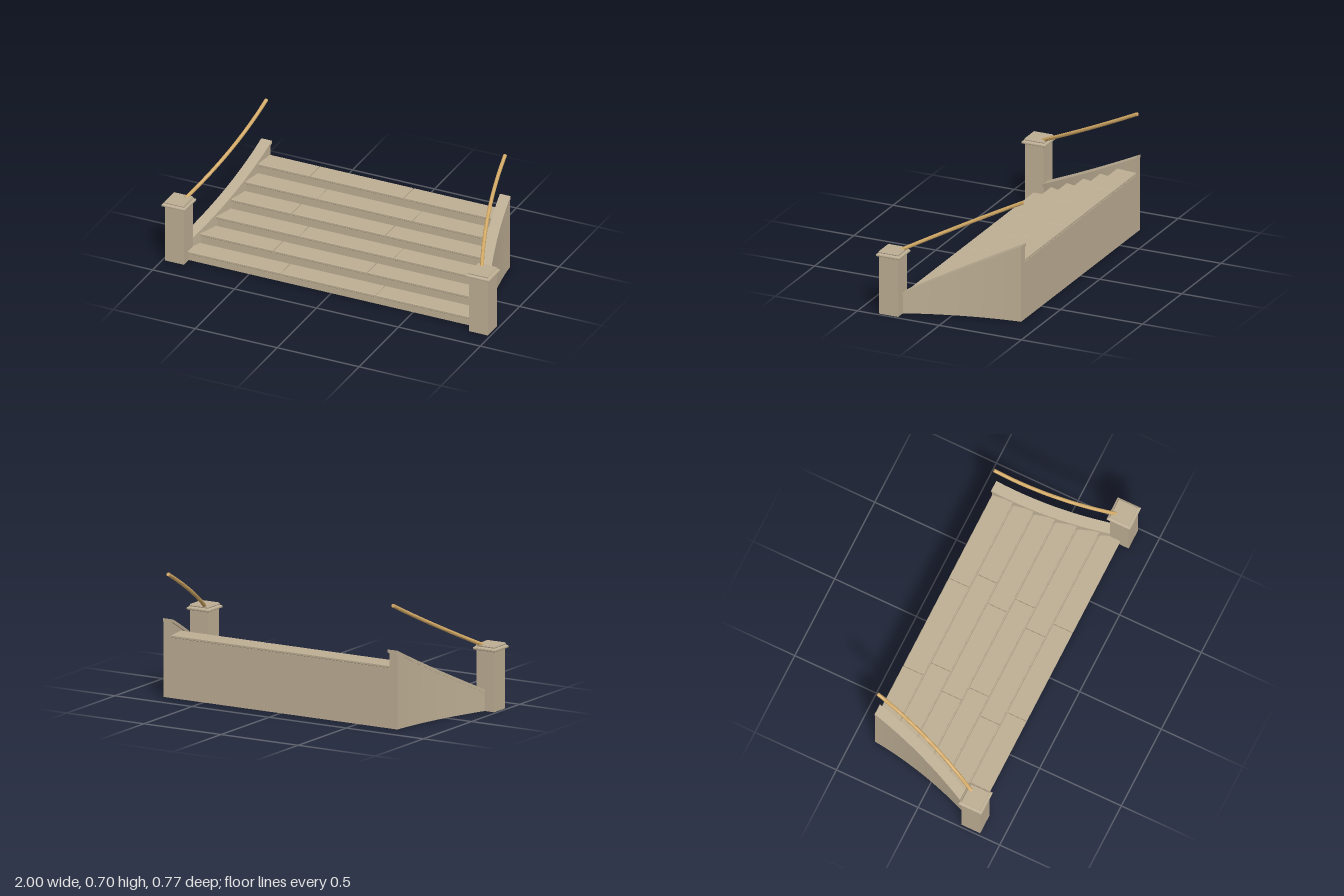
import * as THREE from 'three';
import { toCreasedNormals } from 'three/addons/utils/BufferGeometryUtils.js';

const BACK = -0.383, WALL_FRONT = 0.262, POST_X = 0.928, POST_Z = 0.316;

// Plan curve of the flared side: distance from the middle at depth z
const sideX = z => {
  const t = (z - BACK) / 0.643;
  return 0.728 + 0.167 * (0.4 * t + 0.6 * t * t);
};
const slopeY = z => 0.2525 - 0.5023 * z; // top of the coping
const railY = z => 0.505 - 0.5 * z;

export function createModel() {
  const model = new THREE.Group();
  model.name = 'staircase';
  const stone = new THREE.MeshStandardMaterial({ color: 0xbcad93 });
  stone.name = 'sandstone';
  const wood = new THREE.MeshStandardMaterial({ color: 0xcfa663 });
  wood.name = 'golden wood';

  const add = (parent, name, geometry, material) => {
    const mesh = new THREE.Mesh(geometry, material);
    mesh.name = name;
    parent.add(mesh);
    return mesh;
  };

  // Horizontal slab between depths z0 and z1; null ends follow the flared side
  const slab = (left, right, z0, z1, y0, y1, bevel) => {
    const N = 8, pts = [];
    const edge = z => Math.min(sideX(z), 0.885);
    for (let i = 0; i <= N; i++) {
      const z = z1 + (z0 - z1) * i / N;
      if (right === null || i === 0 || i === N) pts.push(new THREE.Vector2(right ?? edge(z), -z));
    }
    for (let i = 0; i <= N; i++) {
      const z = z0 + (z1 - z0) * i / N;
      if (left === null || i === 0 || i === N) pts.push(new THREE.Vector2(left ?? -edge(z), -z));
    }
    const geo = new THREE.ExtrudeGeometry(new THREE.Shape(pts), {
      depth: y1 - y0 - 2 * bevel, bevelEnabled: bevel > 0, bevelSize: bevel,
      bevelThickness: bevel, bevelOffset: -bevel, bevelSegments: 1,
    });
    geo.rotateX(-Math.PI / 2);
    geo.translate(0, y0 + bevel, 0);
    return geo;
  };

  // Steps: solid risers with overhanging treads laid in staggered slabs
  const steps = new THREE.Group();
  steps.name = 'steps';
  model.add(steps);
  const RISE = 0.0592, RUN = 0.1165, THICK = 0.016, GAP = 0.002;
  for (let i = 0; i < 6; i++) {
    const top = RISE * (i + 1), front = 0.323 - RUN * i;
    const back = i === 5 ? BACK : front - RUN - 0.003;
    const bottom = i === 0 ? 0 : RISE * i - THICK;
    add(steps, 'riser', slab(null, null, BACK, front - 0.01, bottom, top - THICK, 0), stone);
    const seams = i % 2 ? [-0.405, 0.167] : [-0.302, 0.275];
    const ends = [null, ...seams, null];
    for (let k = 0; k < 3; k++) {
      const l = ends[k] === null ? null : ends[k] + GAP;
      const r = ends[k + 1] === null ? null : ends[k + 1] - GAP;
      add(steps, 'tread', slab(l, r, back, front, top - THICK, top, 0.003), stone);
    }
  }

  // Box bent along the flared side, with its height set by depth
  const bentWall = (s, inner, outer, bottomY, topY) => {
    const geo = new THREE.BoxGeometry(1, 1, 1, 1, 1, 24);
    const p = geo.attributes.position;
    for (let i = 0; i < p.count; i++) {
      const z = BACK + (p.getZ(i) + 0.5) * (WALL_FRONT - BACK);
      const offset = p.getX(i) * s > 0 ? outer : inner;
      p.setXYZ(i, s * (sideX(z) + offset), p.getY(i) > 0 ? topY(z) : bottomY(z), z);
    }
    geo.computeVertexNormals();
    return geo;
  };

  // Square moulded cap: half widths and heights
  const capProfile = [[0, 0.34], [0.064, 0.34], [0.071, 0.344], [0.072, 0.35], [0.07, 0.355],
    [0.064, 0.359], [0.059, 0.36], [0.061, 0.365], [0.056, 0.373], [0, 0.373]]
    .map(([r, y]) => new THREE.Vector2(r * Math.SQRT2, y));

  for (const s of [1, -1]) {
    const side = new THREE.Group();
    side.name = s > 0 ? 'leftSide' : 'rightSide';
    model.add(side);

    add(side, 'sideWall', bentWall(s, -0.022, 0.03, () => 0, z => slopeY(z) - 0.018), stone);
    add(side, 'coping', bentWall(s, -0.0325, 0.0325, z => slopeY(z) - 0.018, slopeY), stone);

    const post = add(side, 'post', new THREE.BoxGeometry(0.115, 0.341, 0.115), stone);
    post.position.set(s * POST_X, 0.1705, POST_Z);
    const capGeo = new THREE.LatheGeometry(capProfile, 4, Math.PI / 4).toNonIndexed();
    capGeo.computeVertexNormals();
    add(side, 'postCap', capGeo, stone).position.set(s * POST_X, 0, POST_Z);

    // Round handrail rising from the cap
    const pts = [];
    for (let i = 0; i <= 8; i++) {
      const z = 0.28 + (BACK + 0.002 - 0.28) * i / 8;
      pts.push(new THREE.Vector3(s * sideX(z), railY(z), z));
    }
    const round = new THREE.Shape().absarc(0, 0, 0.0105, 0, Math.PI * 2);
    const railGeo = new THREE.ExtrudeGeometry(round, {
      steps: 28, curveSegments: 14, bevelEnabled: false,
      extrudePath: new THREE.CatmullRomCurve3(pts),
    });
    add(side, 'handrail', toCreasedNormals(railGeo, 0.8), wood);
  }
  return model;
}
